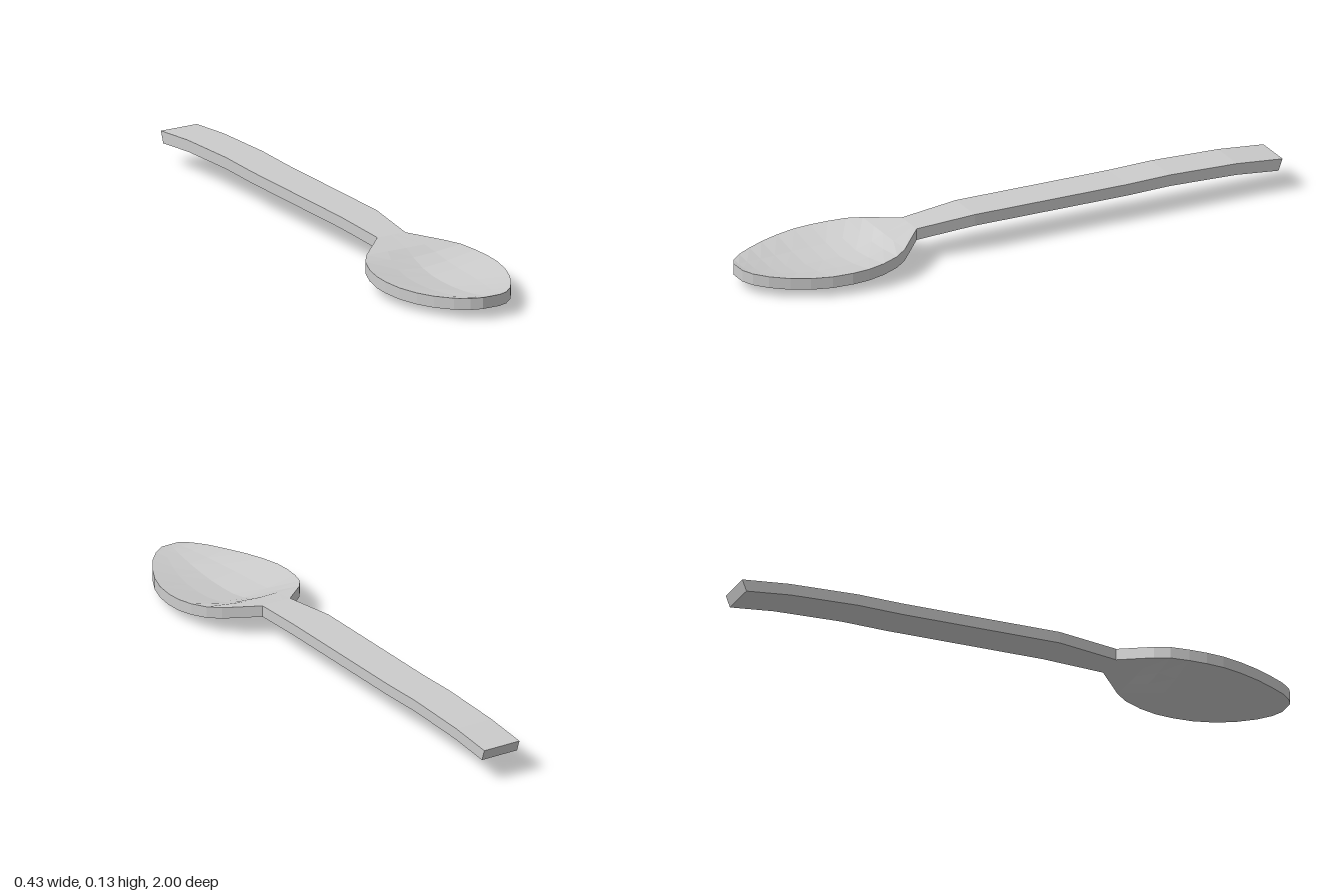
import * as THREE from 'three';

const COLUMNS = [-1, -0.46, 0, 0.46, 1]; // positions across the width
const DEPTH = [1, 0.33, 0, 0.33, 1];     // 1 = rim height, 0 = centre height
const THICK = 0.04;

// Loft a strip of constant thickness; stations are
// [z, halfWidth, rimY, centreY, zShiftOfUnderside]
function loft(name, stations, capStart, capEnd, material) {
  const n = COLUMNS.length, ring = 2 * n, pos = [], index = [];
  for (const [z, w, rim, mid, shift = 0] of stations) {
    const y = (j) => mid + (rim - mid) * DEPTH[j];
    for (let j = 0; j < n; j++) pos.push(COLUMNS[j] * w, y(j), z);
    for (let j = n - 1; j >= 0; j--) pos.push(COLUMNS[j] * w, y(j) - THICK, z + shift);
  }
  const quad = (a, b, c, d) => index.push(a, b, c, a, c, d);
  for (let i = 0; i < stations.length - 1; i++) {
    for (let j = 0; j < ring; j++) {
      const k = (j + 1) % ring, a = i * ring, b = a + ring;
      quad(a + j, b + j, b + k, a + k);
    }
  }
  const last = (stations.length - 1) * ring;
  for (let j = 0; j < n - 1; j++) {
    const under = ring - 1 - j;
    if (capStart) quad(under, j, j + 1, under - 1);
    if (capEnd) quad(last + under, last + under - 1, last + j + 1, last + j);
  }
  const geometry = new THREE.BufferGeometry();
  geometry.setAttribute('position', new THREE.Float32BufferAttribute(pos, 3));
  geometry.setIndex(index);
  geometry.computeVertexNormals();
  const mesh = new THREE.Mesh(geometry, material);
  mesh.name = name;
  return mesh;
}

export function createModel() {
  const material = new THREE.MeshStandardMaterial({ color: 0xcccccc, flatShading: true });
  const group = new THREE.Group();
  group.name = 'spoon';

  // Gently arched handle, narrowing at the neck
  const handle = [
    [-1, 0.07, 0.112, 0.112, 0.015],
    [-0.83, 0.07, 0.127, 0.127, 0.005],
    [-0.58, 0.07, 0.134, 0.134],
    [-0.42, 0.07, 0.13, 0.13],
    [0.15, 0.07, 0.13, 0.13],
    [0.36, 0.055, 0.113, 0.113],
  ];
  group.add(loft('handle', handle, true, false, material));

  // Flared shoulder and hollow oval bowl
  const bowl = [
    [0.36, 0.055, 0.113, 0.113],
    [0.455, 0.155, 0.095, 0.094],
    [0.5, 0.187, 0.089, 0.073],
    [0.56, 0.207, 0.082, 0.053],
    [0.62, 0.217, 0.077, 0.043],
    [0.68, 0.217, 0.074, 0.04],
    [0.75, 0.205, 0.07, 0.04],
    [0.82, 0.181, 0.068, 0.045],
    [0.88, 0.15, 0.068, 0.052],
    [0.94, 0.11, 0.071, 0.062],
    [0.98, 0.07, 0.074, 0.071],
    [1, 0.033, 0.077, 0.077],
  ];
  group.add(loft('bowl', bowl, false, true, material));
  return group;
}
